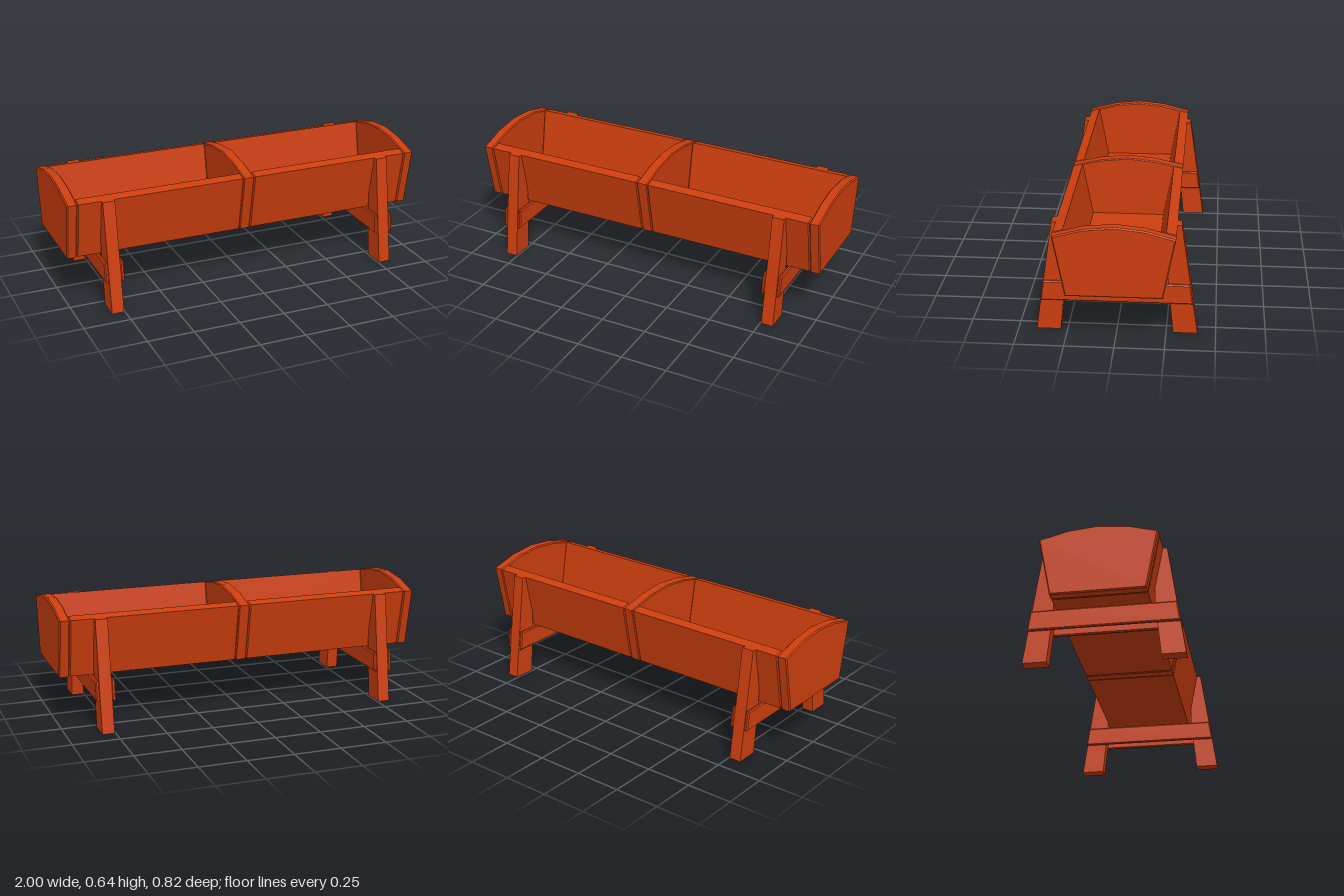
import * as THREE from 'three';

const paint = new THREE.MeshStandardMaterial({ color: 0xcc3e0e });
paint.name = 'orange red paint';

// Plank with a [z, y] outline, running from x0 to x1, with chamfered faces.
function plank(name, outline, x0, x1, bevel = 0) {
  const shape = new THREE.Shape(outline.map(([z, y]) => new THREE.Vector2(-z, y)));
  const geometry = new THREE.ExtrudeGeometry(shape, {
    depth: x1 - x0 - 2 * bevel,
    bevelEnabled: bevel > 0,
    bevelThickness: bevel,
    bevelSize: bevel,
    bevelOffset: -bevel,
    bevelSegments: 1,
  });
  geometry.translate(0, 0, x0 + bevel);
  geometry.rotateY(Math.PI / 2);
  const mesh = new THREE.Mesh(geometry, paint);
  mesh.name = name;
  return mesh;
}

// Arched board that closes off a compartment
function archedOutline(top) {
  return [
    [-0.24, 0.275], [0.24, 0.275], [0.3, 0.59], [0.15, top - 0.015],
    [0, top], [-0.15, top - 0.015], [-0.3, 0.59],
  ];
}

export function createModel() {
  const group = new THREE.Group();
  group.name = 'trough';

  // U-shaped section of the two sloping walls and the floor
  const channel = [
    [-0.24, 0.277], [0.24, 0.277], [0.3, 0.59], [0.25, 0.602],
    [0.195, 0.315], [-0.195, 0.315], [-0.25, 0.602], [-0.3, 0.59],
  ];

  // Leg, with its inner edge resting against the sloping wall
  const leg = [
    [0.408, 0], [0.322, 0.59], [0.3, 0.59], [0.257, 0.364], [0.257, 0.275], [0.285, 0],
  ];

  // Crossbar joining a front and a back leg
  const bar = [[-0.385, 0.17], [0.385, 0.17], [0.37, 0.275], [-0.37, 0.275]];

  group.add(plank('divider', archedOutline(0.64), -0.03, 0.03, 0.005));

  for (const [side, s] of [['left', 1], ['right', -1]]) {
    // Orders the two ends of a span after mirroring
    const span = (a, b) => (s > 0 ? [a, b] : [-b, -a]);

    group.add(plank(`${side}Channel`, channel, ...span(0.03, 0.945), 0.006));
    group.add(plank(`${side}EndBoard`, archedOutline(0.645), ...span(0.945, 1), 0.006));

    // Trestle: two legs clasped between two crossbars
    const trestle = new THREE.Group();
    trestle.name = `${side}Trestle`;
    for (const [end, f] of [['front', 1], ['back', -1]]) {
      const outline = leg.map(([z, y]) => [z * f, y]);
      trestle.add(plank(`${end}Leg`, outline, ...span(0.755, 0.82)));
    }
    trestle.add(plank('innerCrossbar', bar, ...span(0.735, 0.756), 0.006));
    trestle.add(plank('outerCrossbar', bar, ...span(0.819, 0.84), 0.006));
    group.add(trestle);
  }
  return group;
}
